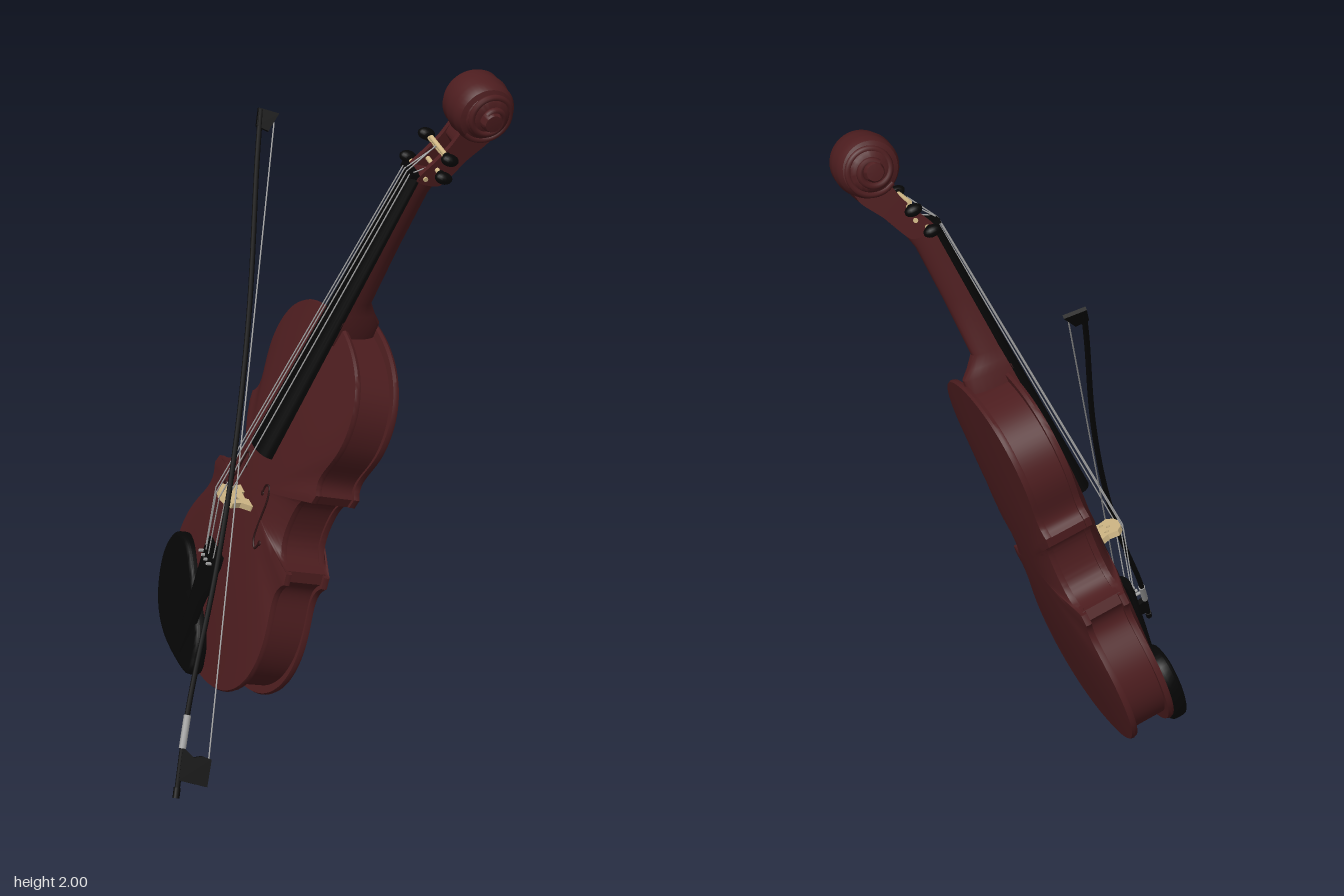
import * as THREE from 'three';
import { toCreasedNormals } from 'three/addons/utils/BufferGeometryUtils.js';

const V2 = (x, y) => new THREE.Vector2(x, y);
const V3 = (x, y, z) => new THREE.Vector3(x, y, z);
const mat = (name, color) => Object.assign(new THREE.MeshStandardMaterial({ color }), { name });

export function createModel() {
  const wood = mat('varnished wood', 0x4d1d1f);
  const black = mat('ebony', 0x060606);
  const ivory = mat('pale maple', 0xd2b987);
  const silver = mat('silver', 0xa0a0a0);
  const dark = mat('dark slot', 0x2a1011);

  const root = new THREE.Group();
  const violin = new THREE.Group();
  violin.name = 'violin';
  const bow = new THREE.Group();
  bow.name = 'bow';
  root.add(violin, bow);

  const add = (name, geo, material, parent = violin) => {
    const m = new THREE.Mesh(geo, material);
    m.name = name;
    parent.add(m);
    return m;
  };

  // Skin through closed rings of equal length, creased at sharp edges
  const loft = (rings, crease = 0.6) => {
    const n = rings[0].length, idx = [];
    for (let i = 0; i < rings.length - 1; i++) for (let j = 0; j < n; j++) {
      const a = i * n + j, b = i * n + (j + 1) % n;
      idx.push(a, b, b + n, a, b + n, a + n);
    }
    const g = new THREE.BufferGeometry().setFromPoints(rings.flat());
    g.setIndex(idx);
    return toCreasedNormals(g, crease);
  };
  // Half-round bar along y: sections are [y, half width, flat z, round z]
  const bar = (sections) => {
    const rings = sections.map(([y, w, zf, zb]) => {
      const ring = [], s = Math.sign(zf - zb);
      for (let i = 0; i <= 16; i++) {
        const a = Math.PI * (0.5 + i / 16);
        ring.push(V3(s * w * Math.sin(a), y, zf + (zf - zb) * Math.cos(a)));
      }
      return ring;
    });
    const cap = ([y, , zf, zb]) => rings[0].map(() => V3(0, y, (zf + zb) / 2));
    return loft([cap(sections[0]), ...rings, cap(sections.at(-1))]);
  };
  const rod = (name, a, b, r, material, parent = violin) => {
    const m = add(name, new THREE.CylinderGeometry(r, r, a.distanceTo(b), 10), material, parent);
    m.position.copy(a).lerp(b, 0.5);
    m.quaternion.setFromUnitVectors(V3(0, 1, 0), b.clone().sub(a).normalize());
    return m;
  };
  const tube = (pts, r, seg = 40) =>
    new THREE.TubeGeometry(new THREE.CatmullRomCurve3(pts), seg, r, 8);
  const splineShape = (pts, tension = 0.5) => new THREE.Shape(
    new THREE.CatmullRomCurve3(pts.map(([x, y]) => V3(x, y, 0)), true, 'catmullrom', tension)
      .getPoints(60).slice(0, -1).map((p) => V2(p.x, p.y)));
  const extrude = (shape, depth, bevel = 0) => new THREE.ExtrudeGeometry(shape, {
    depth, bevelEnabled: bevel > 0, bevelSize: bevel, bevelThickness: bevel, bevelSegments: 3, curveSegments: 16,
  });

  // Body outline: one half, mirrored
  const side = new THREE.Path();
  side.moveTo(0, 0.025);
  side.bezierCurveTo(0.19, 0.02, 0.34, 0.12, 0.338, 0.28);
  side.bezierCurveTo(0.336, 0.41, 0.24, 0.46, 0.305, 0.53);
  side.lineTo(0.295, 0.562);
  side.bezierCurveTo(0.2, 0.565, 0.195, 0.64, 0.195, 0.68);
  side.bezierCurveTo(0.195, 0.74, 0.21, 0.78, 0.262, 0.788);
  side.lineTo(0.268, 0.818);
  side.bezierCurveTo(0.215, 0.86, 0.282, 0.92, 0.282, 1.01);
  side.bezierCurveTo(0.282, 1.16, 0.16, 1.232, 0, 1.235);
  const half = side.getPoints(20);
  const outline = [...half, ...half.slice(1, -1).reverse().map((p) => V2(-p.x, p.y))];
  const MID = 0.65, BACK = 0.178, FRONT = 0.32;
  // Swell of a plate at a point lying at fraction s of the way to the edge
  const arch = (x, y, s, h) =>
    h * Math.max(0, 1 - s ** 4) * (1 - (x / 0.4) ** 2) * (1 - ((y - MID) / 0.75) ** 2);
  const ring = (s, z, h = 0) => outline.map((p) => {
    const x = p.x * s, y = MID + (p.y - MID) * s;
    return V3(x, y, z + arch(x, y, s, h));
  });
  const steps = [0, 0.15, 0.3, 0.45, 0.6, 0.72, 0.82, 0.9, 0.96, 1];
  add('backPlate', loft([...steps.map((s) => ring(s, BACK, -0.024)),
    ring(1.006, BACK + 0.008), ring(1, BACK + 0.018), ring(0.95, BACK + 0.018)], 0.7), wood);
  add('ribs', loft([ring(0.96, BACK + 0.01), ring(0.96, FRONT - 0.01)]), wood);
  add('soundboard', loft([ring(0.95, FRONT - 0.018), ring(1, FRONT - 0.018), ring(1.006, FRONT - 0.008),
    ...steps.slice().reverse().map((s) => ring(s, FRONT, 0.042))], 0.7), wood);

  // Height of the arched soundboard at a point
  const topZ = (x, y) => {
    const a = Math.atan2(y - MID, x);
    let best = outline[0], gap = 9;
    for (const p of outline) {
      const d = Math.abs(Math.atan2(p.y - MID, p.x) - a);
      if (d < gap) { gap = d; best = p; }
    }
    return FRONT + arch(x, y, Math.hypot(x, y - MID) / Math.hypot(best.x, best.y - MID), 0.042);
  };
  // Curved sound holes
  for (const s of [1, -1]) {
    const pts = [[0.07, 0.68], [0.073, 0.71], [0.09, 0.715], [0.103, 0.68], [0.11, 0.62], [0.122, 0.55], [0.142, 0.535], [0.15, 0.56]]
      .map(([x, y]) => V3(s * x, y, topZ(s * x, y)));
    add('soundHole', tube(pts, 0.0035), dark);
    for (const p of [pts[0], pts.at(-1)]) {
      const dot = add('soundHoleEnd', new THREE.SphereGeometry(0.008, 12, 8), dark);
      dot.position.copy(p);
      dot.scale.z = 0.4;
    }
  }

  // Neck with heel, fingerboard and nut
  add('neck', bar([[1.18, 0.05, 0.335, 0.185], [1.255, 0.05, 0.33, 0.19], [1.28, 0.046, 0.325, 0.215],
    [1.315, 0.042, 0.32, 0.243], [1.5, 0.038, 0.305, 0.235], [1.68, 0.036, 0.286, 0.222], [1.74, 0.037, 0.282, 0.205]]), wood);
  add('fingerboard', bar([[0.79, 0.06, 0.37, 0.408], [1.725, 0.04, 0.282, 0.307]]), black);
  add('nut', new THREE.BoxGeometry(0.076, 0.014, 0.03), black).position.set(0, 1.73, 0.295);

  // Pegbox: two cheeks and a floor that closes under the scroll
  const sideways = (pts, width, x) => {
    const g = extrude(splineShape(pts, 0.35), width);
    g.translate(0, 0, -width / 2);
    g.rotateY(-Math.PI / 2);
    return g.translate(x, 0, 0);
  };
  const rear = [[0.19, 1.95], [0.12, 1.94], [0.125, 1.88], [0.168, 1.81], [0.215, 1.72]];
  const cheek = [[0.29, 1.72], [0.258, 1.79], [0.235, 1.84], [0.22, 1.89], ...rear];
  for (const s of [1, -1]) add('pegboxCheek', sideways(cheek, 0.014, s * 0.033), wood);
  add('pegboxFloor', sideways([[0.235, 1.72], [0.205, 1.79], [0.2, 1.825], [0.225, 1.85], [0.22, 1.89], ...rear], 0.06, 0), wood);

  // Scroll: rounded drum with a spiral ridge on each side
  const scroll = new THREE.Group();
  scroll.name = 'scroll';
  scroll.position.set(0.006, 1.96, 0.186);
  violin.add(scroll);
  const prof = [[0, 0.11], [0.024, 0.108], [0.029, 0.098], [0.03, 0.084], [0.052, 0.08], [0.06, 0.073], [0.064, 0.066], [0.078, 0.06], [0.087, 0.043], [0.087, 0.022]];
  const drum = new THREE.LatheGeometry([...prof.map(([r, y]) => V2(r, -y)), V2(0.091, 0),
    ...prof.slice().reverse().map(([r, y]) => V2(r, y))], 40);
  add('scrollDrum', toCreasedNormals(drum.rotateZ(Math.PI / 2), 0.6), wood, scroll);
  for (const s of [1, -1]) {
    const pts = [];
    for (let i = 0; i <= 30; i++) {
      const t = i / 30, a = -1 - t * Math.PI * 3.5, r = 0.076 - 0.05 * t;
      pts.push(V3(s * (0.056 + 0.036 * t), r * Math.sin(a), r * Math.cos(a)));
    }
    add('scrollSpiral', tube(pts, 0.01, 90), wood, scroll);
  }

  // Tuning pegs
  const pegs = [[-1, 1.732, 0.268], [1, 1.765, 0.245], [-1, 1.81, 0.243], [1, 1.82, 0.25]];
  for (const [s, y, z] of pegs) {
    rod('pegShaft', V3(-s * 0.045, y, z), V3(s * 0.075, y, z), 0.007, ivory);
    rod('pegCollar', V3(s * 0.062, y, z), V3(s * 0.07, y, z), 0.012, black);
    const head = add('pegHead', new THREE.SphereGeometry(1, 16, 12), black);
    head.position.set(s * 0.086, y, z);
    head.scale.set(0.019, 0.017, 0.026);
  }

  // Bridge
  const rightSide = [[0.016, 0.372], [0.022, 0.348], [0.056, 0.342], [0.054, 0.365], [0.042, 0.395], [0.05, 0.425], [0.03, 0.443]];
  const bridgeShape = new THREE.Shape([...rightSide.map(([x, y]) => V2(x, y)), V2(0, 0.45),
    ...rightSide.slice().reverse().map(([x, y]) => V2(-x, y))]);
  for (const x of [-0.024, 0, 0.024]) {
    bridgeShape.holes.push(new THREE.Path().absarc(x, x ? 0.398 : 0.412, 0.007, 0, Math.PI * 2, true));
  }
  add('bridge', extrude(bridgeShape, 0.018).rotateX(Math.PI / 2).translate(0, 0.62, 0), ivory);

  // Tailpiece and chin rest
  add('tailpiece', bar([[0.05, 0.026, 0.352, 0.38], [0.25, 0.04, 0.37, 0.397], [0.4, 0.06, 0.38, 0.408], [0.43, 0.055, 0.382, 0.406]]), black);
  const rest = splineShape([[0.08, 0.035], [-0.1, 0.025], [-0.22, 0.075], [-0.288, 0.18], [-0.275, 0.27],
    [-0.2, 0.29], [-0.11, 0.25], [-0.03, 0.2], [0.05, 0.15], [0.085, 0.09]]);
  add('chinRest', toCreasedNormals(extrude(rest, 0.022, 0.012), 0.7).translate(0, 0, 0.334), black);

  // Strings and fine tuners
  for (let i = 0; i < 4; i++) {
    const k = i - 1.5, crown = 0.004 * k * k, [, py, pz] = pegs[[0, 2, 3, 1][i]];
    const path = [V3(k * 0.022, 0.41, 0.41 - crown), V3(k * 0.026, 0.611, 0.454 - crown),
      V3(k * 0.016, 1.73, 0.313 - crown * 0.3), V3(k * 0.012, py, pz + 0.008)];
    for (let j = 0; j < 3; j++) rod('string', path[j], path[j + 1], 0.002, silver);
    rod('fineTuner', V3(k * 0.022, 0.39, 0.395), V3(k * 0.022, 0.39, 0.416), 0.005, silver);
  }

  // Bow, laid out along its own y axis with the hair toward +x
  const stick = new THREE.CatmullRomCurve3([V3(0, 0, 0), V3(0.004, 0.25, 0), V3(0.036, 0.65, 0), V3(0.048, 1, 0), V3(0.04, 1.4, 0), V3(0.008, 1.85, 0), V3(0, 2, 0)]);
  add('stick', new THREE.TubeGeometry(stick, 60, 0.008, 8), black, bow);
  rod('bowScrew', V3(0, 0, 0), V3(0, 0.03, 0), 0.01, black, bow);
  rod('grip', V3(0.001, 0.14, 0), V3(0.004, 0.235, 0), 0.0105, silver, bow);
  const frog = new THREE.Shape([V2(0, 0.05), V2(0.085, 0.04), V2(0.088, 0.118), V2(0.06, 0.125), V2(0.035, 0.118), V2(0, 0.145)]);
  add('frog', extrude(frog, 0.018).translate(0, 0, -0.009), black, bow);
  const tip = new THREE.Shape([V2(-0.008, 1.95), V2(0.03, 1.94), V2(0.056, 1.998), V2(-0.008, 2.004)]);
  add('bowTip', extrude(tip, 0.012).translate(0, 0, -0.006), black, bow);
  rod('bowHair', V3(0.082, 0.11, 0), V3(0.045, 1.97, 0), 0.0022, silver, bow);

  // Lean both pieces into place
  const place = (group, yAxis, zAxis, origin) => {
    const y = yAxis.normalize(), x = y.clone().cross(zAxis).normalize(), z = x.clone().cross(y);
    group.quaternion.setFromRotationMatrix(new THREE.Matrix4().makeBasis(x, y, z));
    group.position.copy(origin);
  };
  place(violin, V3(0.325, 1, 0.25), V3(-0.958, 0.287, 0.097), V3(0.0133, 0.0411, -0.1818));
  const d = V3(0.535, 1.75, -0.81);
  place(bow, d, V3(1, 0, 0).cross(d), V3(-0.5, 0.01, 0.417));
  return root;
}
